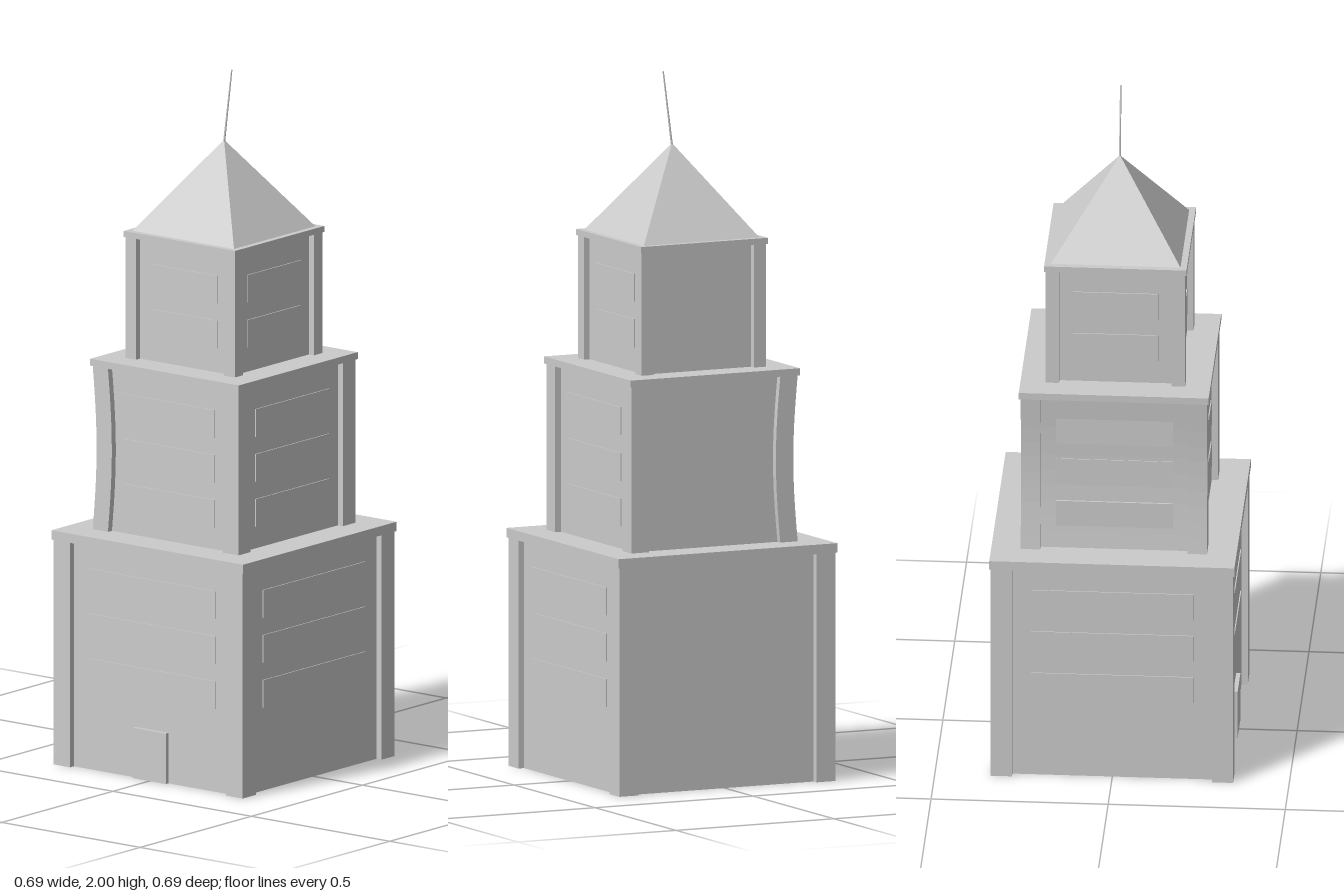
import * as THREE from 'three';

const mat = new THREE.MeshStandardMaterial({ color: 0xcccccc, flatShading: true, side: THREE.DoubleSide });

function add(parent, name, geometry, x = 0, y = 0, z = 0) {
  const mesh = new THREE.Mesh(geometry, mat);
  mesh.name = name;
  mesh.position.set(x, y, z);
  parent.add(mesh);
  return mesh;
}

// Bends a part towards +x, most at mid height.
function bow(geometry, height, amount) {
  const p = geometry.attributes.position;
  for (let i = 0; i < p.count; i++) {
    p.setX(i, p.getX(i) + amount * Math.cos((p.getY(i) / height) * Math.PI));
  }
  return geometry;
}

// One storey: corner posts, recessed walls, cornice slab and window strips.
function makeTier({ name, half, y0, y1, top, post, rim, rows, strip, bend = 0 }) {
  const tier = new THREE.Group();
  tier.name = name;
  const h = y1 - y0, mid = (y0 + y1) / 2, wall = half - 0.018;

  for (const sx of [-1, 1]) for (const sz of [-1, 1]) {
    const g = new THREE.BoxGeometry(post, h, post, 1, 10, 1);
    if (sx < 0) bow(g, h, bend);
    add(tier, 'cornerPost', g, sx * (half - post / 2), mid, sz * (half - post / 2));
  }

  // Open-bottomed shell of four thin walls
  ['frontWall', 'rightSideWall', 'backWall', 'leftSideWall'].forEach((wallName, i) => {
    const a = i * Math.PI / 2;
    const g = new THREE.PlaneGeometry(2 * wall, h, 1, 10).rotateY(a);
    if (i === 3) bow(g, h, bend);
    add(tier, wallName, g, Math.sin(a) * wall, mid, Math.cos(a) * wall);
    if (i === 2) return; // the back is plain
    for (let r = 0; r < rows; r++) {
      const y = y1 - 0.11 - r * 0.13;
      const shift = i === 3 ? bend * Math.cos(((y - mid) / h) * Math.PI) : 0;
      const w = new THREE.BoxGeometry(2 * strip, 0.08, 0.006).rotateY(a);
      add(tier, 'windowStrip', w, Math.sin(a) * wall + shift, y, Math.cos(a) * wall);
    }
  });

  add(tier, 'cornice', new THREE.BoxGeometry(2 * rim, top - y1, 2 * rim), 0, (top + y1) / 2, 0);
  return tier;
}

export function createModel() {
  const model = new THREE.Group();
  model.name = 'steppedTower';

  model.add(
    makeTier({ name: 'lowerTier', half: 0.342, y0: 0, y1: 0.65, top: 0.677, post: 0.06, rim: 0.346, rows: 3, strip: 0.23 }),
    makeTier({ name: 'middleTier', half: 0.263, y0: 0.677, y1: 1.15, top: 1.17, post: 0.055, rim: 0.268, rows: 3, strip: 0.165, bend: 0.014 }),
    makeTier({ name: 'upperTier', half: 0.197, y0: 1.17, y1: 1.52, top: 1.537, post: 0.038, rim: 0.201, rows: 2, strip: 0.12 })
  );

  // Front entrance
  add(model, 'door', new THREE.BoxGeometry(0.12, 0.146, 0.02), 0, 0.073, 0.326);

  // Pyramid roof
  add(model, 'roof', new THREE.ConeGeometry(0.183 * Math.SQRT2, 0.257, 4).rotateY(Math.PI / 4), 0, 1.6655, 0);

  // Leaning antenna
  const base = new THREE.Vector3(0, 1.785, 0), tip = new THREE.Vector3(0.028, 2, 0);
  const lean = tip.clone().sub(base);
  const antenna = add(model, 'antenna', new THREE.CylinderGeometry(0.002, 0.003, lean.length(), 6));
  antenna.position.copy(base).add(tip).multiplyScalar(0.5);
  antenna.quaternion.setFromUnitVectors(new THREE.Vector3(0, 1, 0), lean.normalize());

  return model;
}
